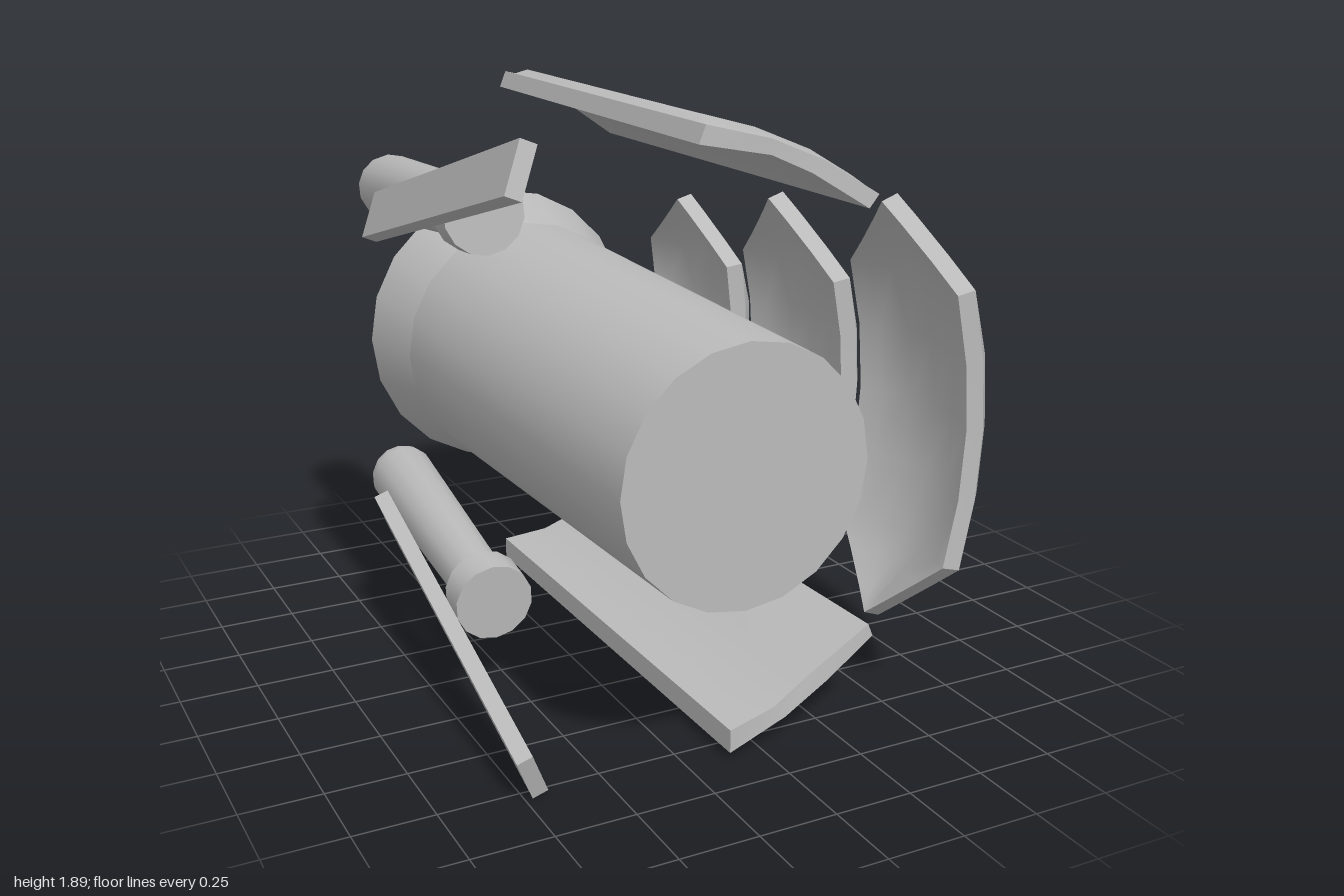
import * as THREE from 'three';
import { toCreasedNormals } from 'three/addons/utils/BufferGeometryUtils.js';

const MID_Y = 0.95; // height of the main axis
const grey = new THREE.MeshStandardMaterial({ color: 0xbbbbbb });
grey.name = 'plain grey';

function addPart(group, name, geometry) {
  const mesh = new THREE.Mesh(geometry, grey);
  mesh.name = name;
  group.add(mesh);
  return mesh;
}

// Closed shell between an outer and an inner grid of points
function slab(outer, inner) {
  const pos = [];
  const tri = (a, b, c) => {
    const n = b.clone().sub(a).cross(c.clone().sub(a));
    if (n.length() > 1e-8) pos.push(...a.toArray(), ...b.toArray(), ...c.toArray());
  };
  const quad = (a, b, c, d) => { tri(a, b, c); tri(a, c, d); };
  const n = outer.length - 1, m = outer[0].length - 1;
  for (let i = 0; i < n; i++) {
    for (let j = 0; j < m; j++) {
      quad(outer[i][j], outer[i + 1][j], outer[i + 1][j + 1], outer[i][j + 1]);
      quad(inner[i][j], inner[i][j + 1], inner[i + 1][j + 1], inner[i + 1][j]);
    }
  }
  // rim
  const loop = [];
  for (let i = 0; i < n; i++) loop.push([i, 0]);
  for (let j = 0; j < m; j++) loop.push([n, j]);
  for (let i = n; i > 0; i--) loop.push([i, m]);
  for (let j = m; j > 0; j--) loop.push([0, j]);
  loop.forEach(([i, j], k) => {
    const [p, q] = loop[(k + 1) % loop.length];
    quad(inner[i][j], inner[p][q], outer[p][q], outer[i][j]);
  });
  const g = new THREE.BufferGeometry();
  g.setAttribute('position', new THREE.Float32BufferAttribute(pos, 3));
  return toCreasedNormals(g, 0.7);
}

// Hexagonal plate bowed along y, with a pillowed face towards +x
function hexPlate({ z, half, tip, corner, x, curve, bulge }) {
  const upper = [0, corner / 2, corner, ...[0.35, 0.75, 1].map((k) => corner + k * (tip - corner))];
  const rows = [...upper.slice(1).reverse().map((y) => -y), ...upper];
  const grid = (offset, puff, shrink) => rows.map((y) => {
    const w = half * Math.min(1, (tip - Math.abs(y)) / (tip - corner));
    return [-1, -0.8, -0.4, 0, 0.4, 0.8, 1].map((t) => {
      const s = Math.abs(t * w) / half;
      const edge = Math.min(1, Math.max(s, (Math.abs(y) + (tip - corner) * s) / tip));
      return new THREE.Vector3(x + offset - curve * y * y + puff * (1 - edge ** 3),
        MID_Y + y * shrink, z + t * w * shrink);
    });
  });
  return slab(grid(0.055, bulge, 1), grid(0, bulge * 0.8, 0.97));
}

// Long curved panel with bevelled rim; ends and skew blend across its width
function longPanel(outerXY, innerXY, ends) {
  const us = [0, 0.08, 1 / 3, 2 / 3, 0.92, 1], ts = [0, 0.06, 0.5, 0.94, 1];
  const sample = (pts, u) => {
    const f = u * (pts.length - 1), i = Math.min(pts.length - 2, Math.floor(f));
    return new THREE.Vector2(...pts[i]).lerp(new THREE.Vector2(...pts[i + 1]), f - i);
  };
  const grid = (depth) => us.map((u) => {
    const [back, front, skew] = ends[0].map((v, k) => THREE.MathUtils.lerp(v, ends[1][k], u));
    return ts.map((t) => {
      const rim = u === 0 || u === 1 || t === 0 || t === 1;
      const p = sample(innerXY, u).lerp(sample(outerXY, u), rim ? depth * 0.7 : depth);
      return new THREE.Vector3(p.x + skew * (1 - t), p.y, THREE.MathUtils.lerp(back, front, t));
    });
  });
  return slab(grid(1), grid(0));
}

function lathe(points, sides) {
  return new THREE.LatheGeometry(points.map(([r, h]) => new THREE.Vector2(r, h)), sides);
}

export function createModel() {
  const model = new THREE.Group();
  model.name = 'model';

  // Tapered drum and its flared back end: front and back radius, x and z
  for (const [name, r1, x1, z1, r2, x2, z2] of [
    ['drum', 0.39, -0.16, 1, 0.43, -0.142, -0.6],
    ['drumFlare', 0.43, -0.142, -0.6, 0.5, -0.12, -0.87],
  ]) {
    const geometry = new THREE.CylinderGeometry(r1, r2, z1 - z2, 20);
    geometry.rotateX(Math.PI / 2);
    const shear = (x1 - x2) / (z1 - z2);
    geometry.applyMatrix4(new THREE.Matrix4().set(1, 0, shear, 0, 0, 1, 0, 0, 0, 0, 1, 0, 0, 0, 0, 1));
    addPart(model, name, geometry).position.set((x1 + x2) / 2, MID_Y, (z1 + z2) / 2);
  }

  // Three hexagonal side plates
  [
    { z: 0.667, half: 0.284, tip: 0.68, corner: 0.435, x: 0.62, curve: 0.31, bulge: 0.105 },
    { z: 0.1, half: 0.292, tip: 0.6, corner: 0.363, x: 0.55, curve: 0.33, bulge: 0.085 },
    { z: -0.495, half: 0.297, tip: 0.5, corner: 0.298, x: 0.48, curve: 0.26, bulge: 0.1 },
  ].forEach((o, i) => addPart(model, `sidePlate${i + 1}`, hexPlate(o)));

  // Curved panels above and below
  addPart(model, 'upperPanel', longPanel(
    [[0.345, 1.69], [0.17, 1.795], [0, 1.865], [-0.185, 1.915]],
    [[0.3, 1.635], [0.12, 1.745], [0, 1.8], [-0.215, 1.84]],
    [[-0.84, 0.86, 0.015], [-0.72, 0.8, 0.05]]));
  addPart(model, 'lowerPanel', longPanel(
    [[-0.12, 0.005], [0.1, 0.08], [0.27, 0.16], [0.425, 0.26]],
    [[-0.12, 0.11], [0.04, 0.14], [0.17, 0.205], [0.4, 0.32]],
    [[-0.84, 0.86, -0.015], [-0.72, 0.8, -0.055]]));

  // Rods and straight bars, mirrored above and below the axis
  const rodProfile = [];
  for (let i = 0; i <= 6; i++) {
    const a = (i / 6) * Math.PI / 2;
    rodProfile.push([0.115 * Math.sin(a), -0.115 * Math.cos(a)]);
  }
  rodProfile.push([0.09, 0.92], [0.127, 0.92], [0.127, 1.035], [0, 1.035]);
  for (const [side, s] of [['upper', 1], ['lower', -1]]) {
    const rod = addPart(model, `${side}Rod`, toCreasedNormals(lathe(rodProfile, 14), 0.6));
    rod.position.set(-0.517, MID_Y + s * 0.54, -0.885);
    rod.quaternion.setFromUnitVectors(new THREE.Vector3(0, 1, 0),
      new THREE.Vector3(-0.056, s * 0.082, 1).normalize());

    const bar = addPart(model, `${side}Bar`, new THREE.BoxGeometry(0.05, 0.155, 1.37));
    const along = new THREE.Vector3(-0.026, s * 0.263, 1).normalize();
    const across = new THREE.Vector3(0.374, s * 0.927, 0).cross(along).normalize();
    const up = along.clone().cross(across);
    bar.quaternion.setFromRotationMatrix(new THREE.Matrix4().makeBasis(across, up, along));
    bar.position.set(-0.717, MID_Y + s * 0.687, 0.15);
  }
  return model;
}
